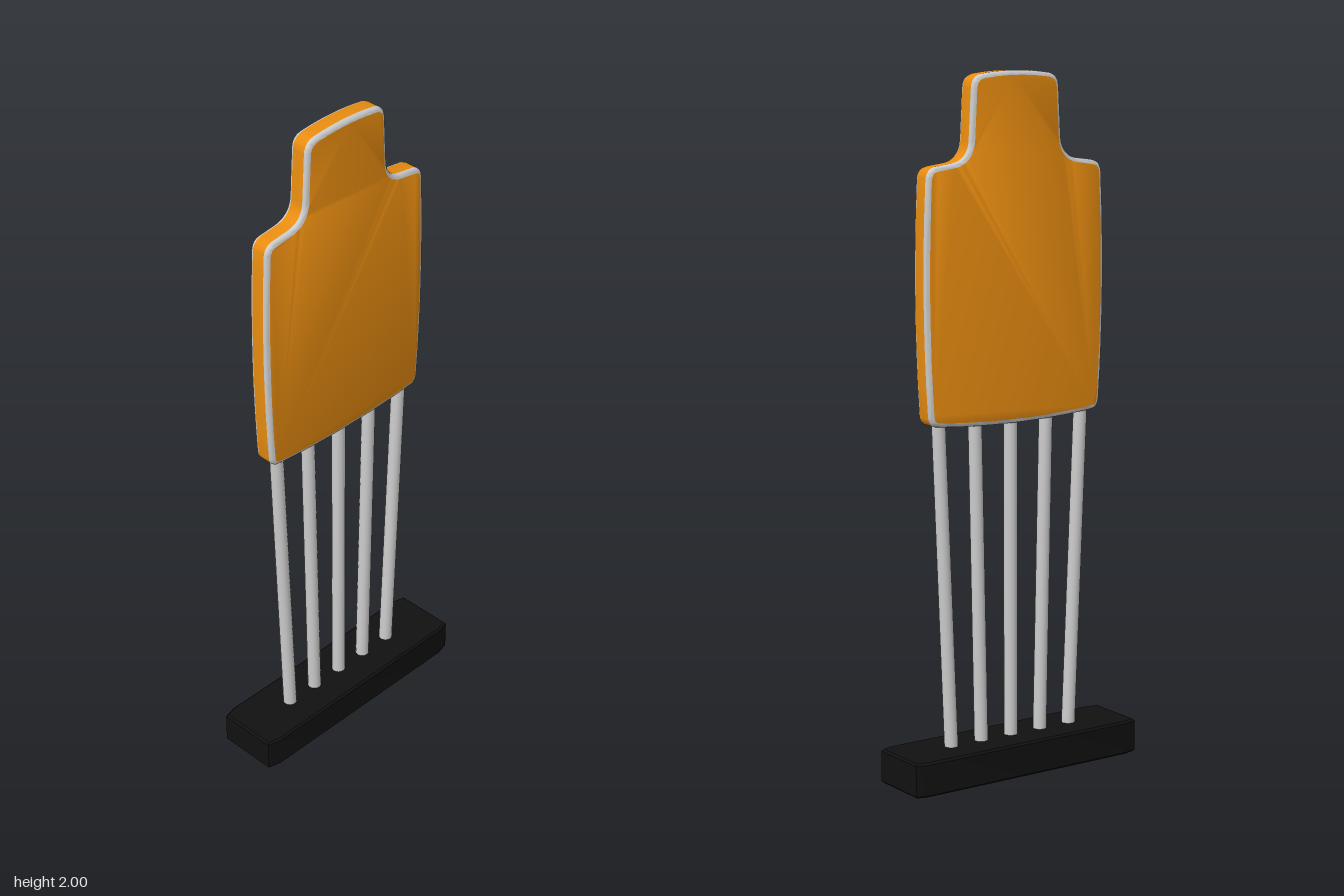
import * as THREE from 'three';
import { toCreasedNormals } from 'three/addons/utils/BufferGeometryUtils.js';

const orange = new THREE.MeshStandardMaterial({ color: 0xe88c10 });
const grey = new THREE.MeshStandardMaterial({ color: 0xcccccc });
const black = new THREE.MeshStandardMaterial({ color: 0x111111 });

function addMesh(parent, name, geometry, material) {
  const mesh = new THREE.Mesh(geometry, material);
  mesh.name = name;
  parent.add(mesh);
  return mesh;
}

// Extrusion centred on z = 0 with its bevel inside the outline
function bevelled(shape, thickness, bevel, segments) {
  const depth = thickness - 2 * bevel;
  return new THREE.ExtrudeGeometry(shape, {
    depth, bevelThickness: bevel, bevelSize: bevel, bevelOffset: -bevel,
    bevelSegments: segments, curveSegments: 8,
  }).translate(0, 0, -depth / 2);
}

// Outline with softly bowed sides, shoulders and a narrower head
function panelShape() {
  const s = new THREE.Shape();
  s.moveTo(0, 1.015);
  s.quadraticCurveTo(0.15, 1.015, 0.265, 1.028);
  s.quadraticCurveTo(0.29, 1.03, 0.293, 1.06);
  s.quadraticCurveTo(0.315, 1.38, 0.297, 1.71);
  s.quadraticCurveTo(0.294, 1.74, 0.265, 1.745);
  s.lineTo(0.21, 1.752);
  s.quadraticCurveTo(0.16, 1.76, 0.155, 1.81);
  s.lineTo(0.147, 1.955);
  s.quadraticCurveTo(0.144, 1.985, 0.115, 1.992);
  s.quadraticCurveTo(0.06, 2, 0, 2);
  const half = s.getPoints(8);
  const mirrored = half.slice(1, -1).reverse().map(p => new THREE.Vector2(-p.x, p.y));
  return new THREE.Shape([...half, ...mirrored]);
}

// Keep only the triangles whose face normal passes the test
function pickTriangles(geometry, test) {
  const pos = geometry.attributes.position, nor = geometry.attributes.normal;
  const p = [], n = [], t = new THREE.Triangle(), v = new THREE.Vector3();
  for (let i = 0; i < pos.count; i += 3) {
    t.setFromAttributeAndIndices(pos, i, i + 1, i + 2);
    if (!test(Math.abs(t.getNormal(v).z))) continue;
    for (let k = i; k < i + 3; k++) {
      p.push(pos.getX(k), pos.getY(k), pos.getZ(k));
      n.push(nor.getX(k), nor.getY(k), nor.getZ(k));
    }
  }
  const out = new THREE.BufferGeometry();
  out.setAttribute('position', new THREE.Float32BufferAttribute(p, 3));
  out.setAttribute('normal', new THREE.Float32BufferAttribute(n, 3));
  return out;
}

export function createModel() {
  const model = new THREE.Group();
  model.name = 'standingTarget';

  // Base block with cut-off corners
  const corner = [[0.385, 0.09], [0.345, 0.1]];
  const right = [[0.385, -0.09], ...corner];
  const left = [[-0.345, 0.1], [-0.385, 0.09], [-0.385, -0.09], [-0.345, -0.1]];
  const outline = [...right, ...left, [0.345, -0.1]].map(([x, y]) => new THREE.Vector2(x, y));
  const baseGeo = bevelled(new THREE.Shape(outline), 0.1, 0.006, 1);
  baseGeo.rotateX(-Math.PI / 2).translate(0, 0.05, 0);
  addMesh(model, 'base', toCreasedNormals(baseGeo, 0.3), black);

  // Five rods fanning out towards the panel
  const rods = new THREE.Group();
  rods.name = 'rods';
  model.add(rods);
  const up = new THREE.Vector3(0, 1, 0);
  for (let i = -2; i <= 2; i++) {
    const a = new THREE.Vector3(i * 0.103, 0.08, 0);
    const b = new THREE.Vector3(i * 0.123, 1.05, 0);
    const dir = b.clone().sub(a);
    const rod = addMesh(rods, 'rod', new THREE.CylinderGeometry(0.02, 0.02, dir.length(), 16), grey);
    rod.position.copy(a).add(b).multiplyScalar(0.5);
    rod.quaternion.setFromUnitVectors(up, dir.normalize());
  }

  // Panel: painted faces and rim, bare rounded edge between them
  const panel = new THREE.Group();
  panel.name = 'panel';
  model.add(panel);
  const panelGeo = toCreasedNormals(bevelled(panelShape(), 0.066, 0.013, 3), 0.8);
  const painted = nz => nz > 0.99 || nz < 0.1;
  addMesh(panel, 'paintedSurface', pickTriangles(panelGeo, painted), orange);
  addMesh(panel, 'bareEdge', pickTriangles(panelGeo, nz => !painted(nz)), grey);

  return model;
}
